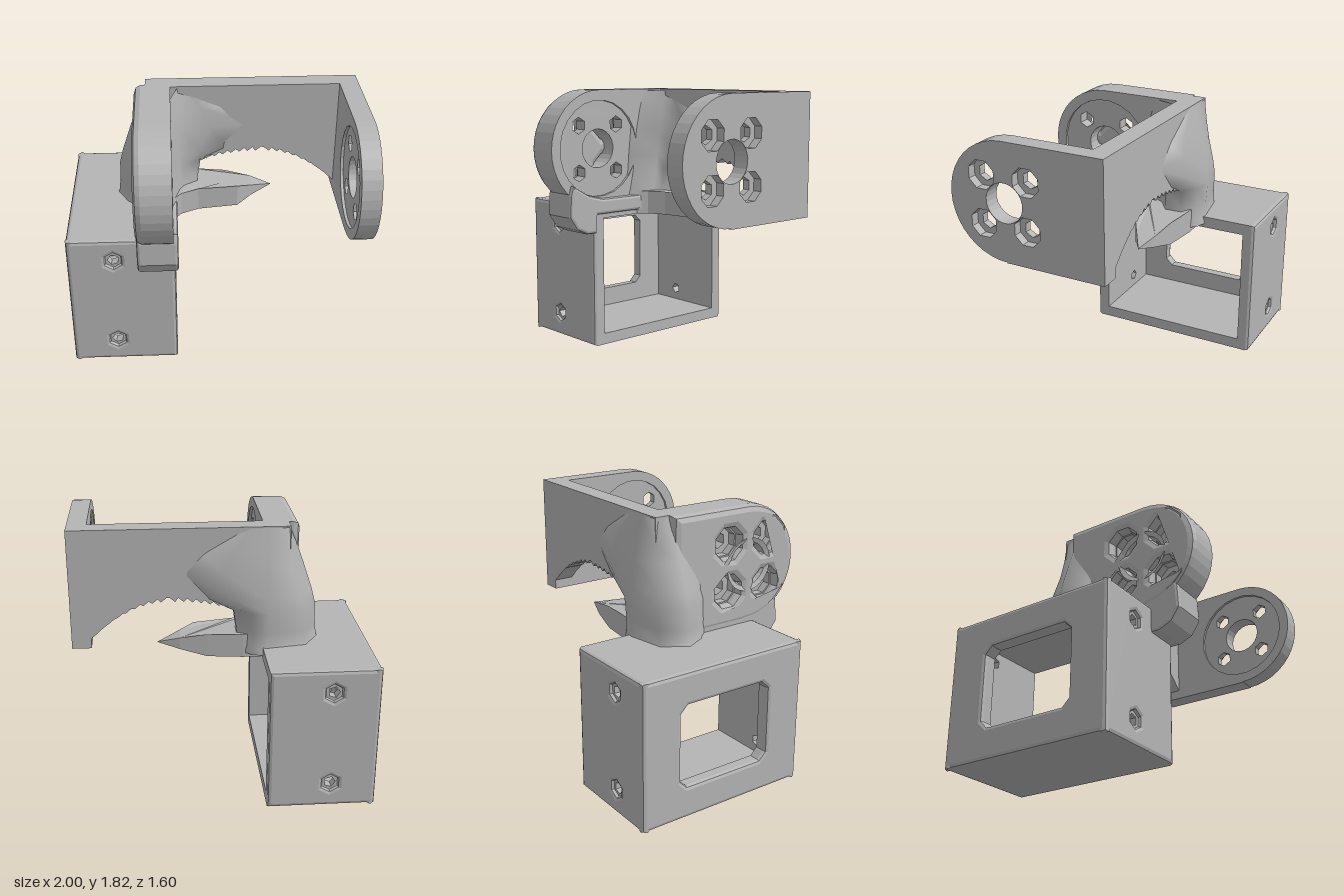
import * as THREE from 'three';

const grey = new THREE.MeshStandardMaterial({ color: 0xb4b4b4 });
grey.name = 'grey plastic';

const polygon = (pts) => new THREE.Shape(pts.map(([a, b]) => new THREE.Vector2(a, b)));
const rect = (a0, b0, a1, b1) => polygon([[a0, b0], [a1, b0], [a1, b1], [a0, b1]]);

// Regular hole with n sides
function hole(a, b, r, n) {
  const pts = [];
  for (let i = 0; i < n; i++) {
    const t = -(i + 0.5) / n * Math.PI * 2;
    pts.push(new THREE.Vector2(a + r * Math.cos(t), b + r * Math.sin(t)));
  }
  return new THREE.Path(pts);
}

// Solid between two planes on an axis; shapes are (x,y) for z and (z,y) for x
function slab(name, shape, axis, from, to, bevel = 0) {
  const geo = new THREE.ExtrudeGeometry(shape, {
    depth: to - from - 2 * bevel, curveSegments: 10, bevelEnabled: bevel > 0,
    bevelThickness: bevel, bevelSize: bevel, bevelOffset: -bevel, bevelSegments: 2,
  });
  geo.translate(0, 0, bevel);
  if (axis === 'x') geo.rotateY(-Math.PI / 2).translate(to, 0, 0);
  else geo.translate(0, 0, from);
  const mesh = new THREE.Mesh(geo, grey);
  mesh.name = name;
  return mesh;
}

function box(name, x0, x1, y0, y1, z0, z1) {
  const geo = new THREE.BoxGeometry(x1 - x0, y1 - y0, z1 - z0);
  geo.translate((x0 + x1) / 2, (y0 + y1) / 2, (z0 + z1) / 2);
  const mesh = new THREE.Mesh(geo, grey);
  mesh.name = name;
  return mesh;
}

// Open-sided motor housing
function housing() {
  const g = new THREE.Group();
  g.name = 'housing';
  const screws = (shape, r, n) => {
    for (const y of [0.17, 0.84]) shape.holes.push(hole(-0.69, y, r, n));
    return shape;
  };
  const skin = () => screws(rect(-1, 0, -0.27, 1), 0.06, 6);
  const lining = () => screws(rect(-0.97, 0.03, -0.27, 0.97), 0.04, 5);
  g.add(
    slab('frontWall', skin(), 'z', 0.40, 0.46, 0.025),
    slab('frontLining', lining(), 'z', 0.37, 0.435),
    slab('backWall', skin(), 'z', -0.80, -0.74, 0.025),
    slab('backLining', lining(), 'z', -0.775, -0.71),
    box('roof', -0.975, -0.27, 0.92, 1, -0.775, 0.435),
    box('floor', -0.975, -0.27, 0, 0.08, -0.775, 0.435),
  );
  // Side wall with a chamfered window
  const windowPath = () => new THREE.Path([
    [0.13, 0.22], [-0.46, 0.22], [-0.51, 0.27], [-0.51, 0.73],
    [-0.46, 0.78], [0.13, 0.78], [0.18, 0.73], [0.18, 0.27],
  ].map(([a, b]) => new THREE.Vector2(a, b)));
  const side = rect(-0.80, 0, 0.46, 1);
  const lining2 = rect(-0.75, 0.05, 0.41, 0.95);
  side.holes.push(windowPath());
  lining2.holes.push(windowPath());
  g.add(slab('windowWall', side, 'x', -1, -0.94, 0.025), slab('windowLining', lining2, 'x', -0.97, -0.91));
  return g;
}

// Round-ended arm outline with a hub hole and four screw holes
const CZ = 0.39, CY = 1.41;
function armShape(back, screwR, sides, hubR = 0.135) {
  const s = new THREE.Shape();
  s.moveTo(back, 1.0);
  s.lineTo(CZ, 1.0);
  s.absarc(CZ, CY, 0.405, -Math.PI / 2, Math.PI / 2, false);
  s.lineTo(back, 1.815);
  s.closePath();
  s.holes.push(hole(CZ, CY, hubR, 24));
  if (screwR) for (const dz of [-0.163, 0.163]) for (const dy of [-0.163, 0.163])
    s.holes.push(hole(CZ + dz, CY + dy, screwR, sides));
  return s;
}

// Arm: counterbored outside, pierced core, disc recess inside
function arm(name, outer, inner) {
  const g = new THREE.Group();
  g.name = name;
  const d = Math.sign(inner - outer);
  const layer = (n, shape, a, b) => g.add(slab(n, shape, 'x', Math.min(a, b), Math.max(a, b)));
  const core = outer + d * 0.06, recess = inner - d * 0.02;
  layer('counterboreLayer', armShape(-0.32, 0.1, 8), outer, core);
  layer('armCore', armShape(-0.32, 0.058, 6), core, recess);
  layer('recessRim', armShape(-0.32, 0, 0, 0.335), recess, inner);
  return g;
}

// Back plate with a stepped arch along its lower edge
function backPlate() {
  const pts = [[-0.45, 1.0], [-0.12, 1.0], [-0.13, 1.07], [-0.1, 1.25]];
  const n = 17;
  for (let i = 0; i < n; i++) {
    const x = -0.1 + (i + 0.5) / n * 0.98;
    const y = 1.33 - (x < 0.35 ? 0.4 : 0.96) * (x - 0.35) ** 2;
    const rise = x < 0.35 ? 0.015 : -0.015;
    pts.push([x - 0.024, y - rise], [x + 0.012, y + rise]);
  }
  pts.push([0.9, 1.04], [0.95, 1.0], [0.99, 1.0], [0.99, 1.815], [-0.45, 1.815]);
  return slab('backPlate', polygon(pts), 'z', -0.32, -0.18);
}

// Organic neck lofted upward: height, left edge, back edge, right edge, inner fillet
function neck() {
  const rows = [
    [0.95, -0.70, -0.43, -0.10, 0.17],
    [1.01, -0.66, -0.41, -0.10, 0.16],
    [1.10, -0.65, -0.41, -0.10, 0.13],
    [1.24, -0.645, -0.42, -0.08, 0.10],
    [1.34, -0.62, -0.41, 0.12, 0.09],
    [1.52, -0.56, -0.385, 0.28, 0.07],
    [1.66, -0.51, -0.355, 0.15, 0.04],
    [1.805, -0.45, -0.32, -0.1, 0],
  ];
  const pos = [], idx = [];
  for (const [y, L, B, R, F] of rows) {
    const mid = (R - 0.3) / 2;
    const ring = [
      [-0.44, 0.12], [Math.min(L + 0.07, -0.45), -0.06], [L, -0.2], [Math.min(L + 0.1, -0.44), (B - 0.32) / 2],
      [-0.3, B], [mid, B * 0.7 - 0.096], [R, -0.31],
      [R, -0.19], [mid, -0.19 + F * 0.6], [-0.23, -0.19 + F], [-0.29, 0.02 + F],
    ];
    for (const [x, z] of ring) pos.push(x, y, z);
  }
  const n = 11;
  for (let r = 0; r < rows.length - 1; r++) for (let i = 0; i < n; i++) {
    const a = r * n + i, b = r * n + (i + 1) % n;
    idx.push(a, a + n, b + n, a, b + n, b);
  }
  const geo = new THREE.BufferGeometry();
  geo.setAttribute('position', new THREE.Float32BufferAttribute(pos, 3));
  geo.setIndex(idx);
  geo.computeVertexNormals();
  const mesh = new THREE.Mesh(geo, grey);
  mesh.name = 'neck';
  return mesh;
}

// Pointed tongue beside the arch, thinned towards its tip
function tongue() {
  const plan = polygon([[-0.32, 0.36], [-0.14, 0.36], [0.1, 0.33], [0.28, 0.3], [0.43, 0.25],
    [0.28, 0.16], [0.18, 0.1], [-0.1, 0.06], [-0.22, 0.0], [-0.3, -0.1]]);
  const geo = new THREE.ExtrudeGeometry(plan, { depth: 1, bevelEnabled: false });
  geo.rotateX(-Math.PI / 2);
  const p = geo.attributes.position;
  for (let i = 0; i < p.count; i++) {
    const x = p.getX(i), t = Math.max(0, (x - 0.18) / 0.25);
    const top = 1.085 - 0.05 * Math.max(0, x) - 0.06 * t;
    const bottom = 0.92 + 0.08 * Math.min(1, t * 1.4);
    p.setY(i, p.getY(i) > 0.5 ? top : Math.min(bottom, top - 0.002));
  }
  geo.computeVertexNormals();
  const mesh = new THREE.Mesh(geo, grey);
  mesh.name = 'tongue';
  return mesh;
}

export function createModel() {
  const model = new THREE.Group();
  model.name = 'servoBracket';
  model.add(housing(), backPlate(), arm('leftArm', 1, 0.87), arm('rightArm', -0.45, -0.28), neck(), tongue());

  // Thickened outer face of the arm above the housing
  model.add(slab('armSwelling', armShape(-0.22, 0.11, 8, 0.14), 'x', -0.525, -0.40, 0.045));

  // Skirt joining that arm to the housing and overhanging its front
  const skirt = polygon([[-0.25, 0.95], [0.43, 0.95], [0.44, 0.82], [0.52, 0.82], [0.61, 0.86],
    [0.67, 0.95], [0.66, 1.1], [0.64, 1.17], [0.5, 1.09], [0.38, 1.06], [-0.25, 1.06]]);
  model.add(slab('armSkirt', skirt, 'x', -0.52, -0.25, 0.02));
  return model;
}
